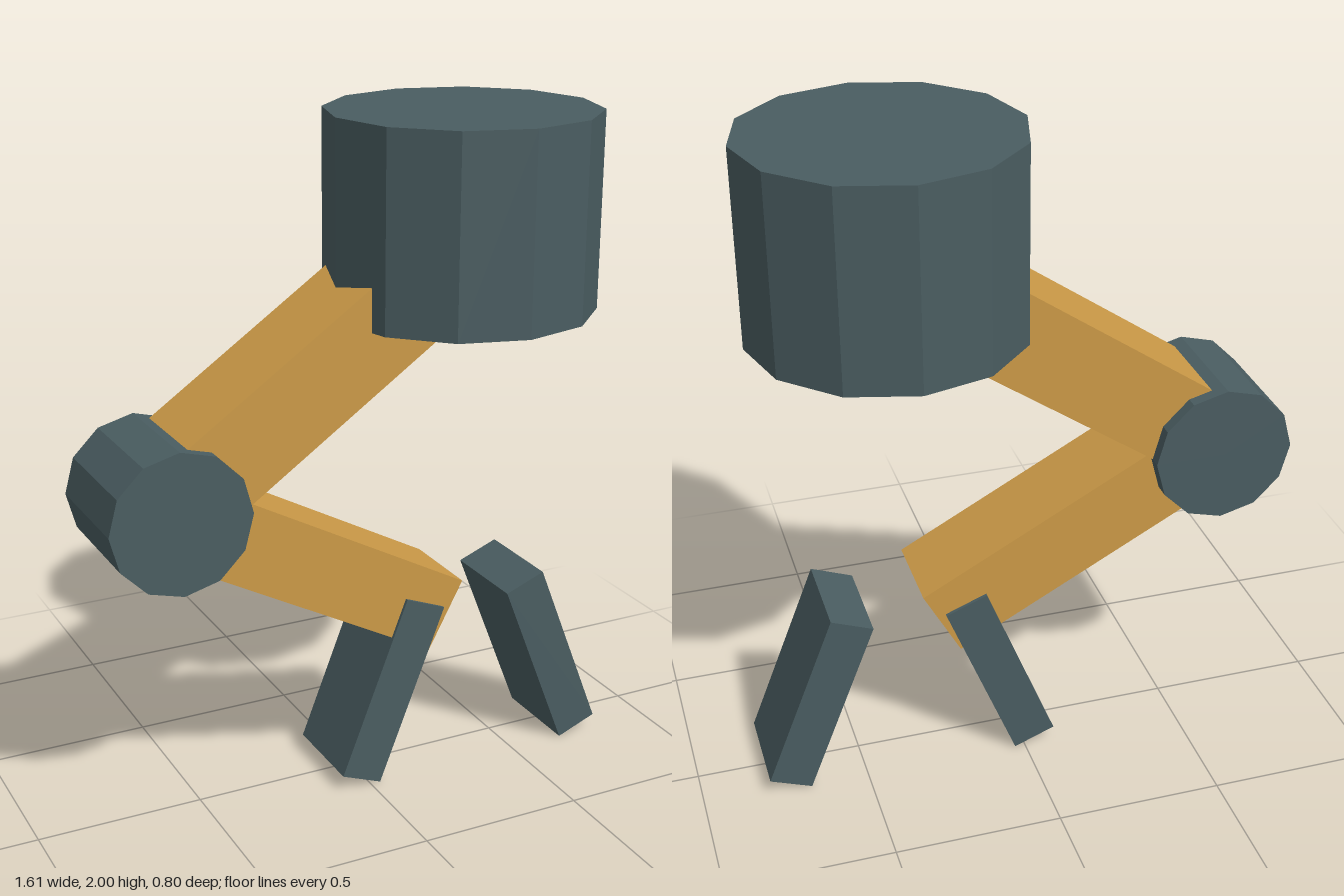
import * as THREE from 'three';

export function createModel() {
  const model = new THREE.Group();
  model.name = 'roboticArm';

  const slate = new THREE.MeshStandardMaterial({ color: 0x4a5d61, flatShading: true });
  slate.name = 'slate';
  const ochre = new THREE.MeshStandardMaterial({ color: 0xcc9a47, flatShading: true });
  ochre.name = 'ochre';

  function add(name, geometry, material, x, y) {
    const mesh = new THREE.Mesh(geometry, material);
    mesh.name = name;
    mesh.position.set(x, y, 0);
    model.add(mesh);
    return mesh;
  }

  // Straight box between two points in the xy plane
  function beam(name, material, [x1, y1], [x2, y2], width, depth) {
    const length = Math.hypot(x2 - x1, y2 - y1);
    const mesh = add(name, new THREE.BoxGeometry(length, width, depth), material, (x1 + x2) / 2, (y1 + y2) / 2);
    mesh.rotation.z = Math.atan2(y2 - y1, x2 - x1);
  }

  // Shoulder drum and elbow joint
  add('shoulderDrum', new THREE.CylinderGeometry(0.4, 0.4, 0.575, 12), slate, 0.355, 1.7125);
  const elbow = add('elbowJoint', new THREE.CylinderGeometry(0.21, 0.21, 0.37, 12), slate, -0.595, 0.97);
  elbow.rotation.x = Math.PI / 2;

  // Arm segments
  beam('upperArm', ochre, [-0.603, 0.981], [0.335, 1.628], 0.263, 0.296);
  beam('forearm', ochre, [-0.597, 0.966], [0.254, 0.508], 0.234, 0.27);

  // Pair of gripper fingers, mirrored about the grip axis
  const gripX = 0.3535;
  for (const side of [-1, 1]) {
    beam(side < 0 ? 'rightFinger' : 'leftFinger', slate,
      [gripX + side * 0.3845, 0.025], [gripX + side * 0.1725, 0.565], 0.134, 0.29);
  }

  return model;
}
